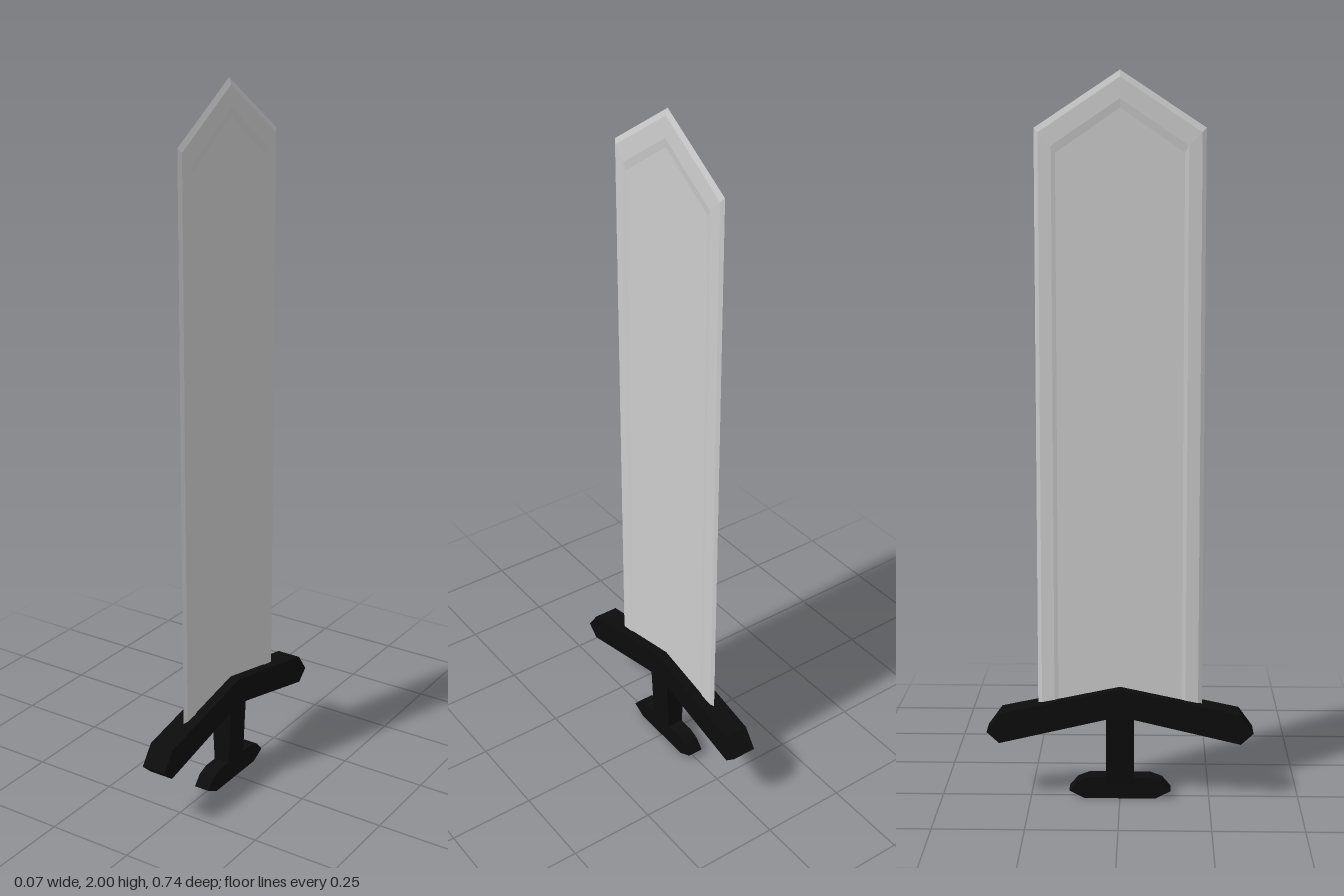
import * as THREE from 'three';

const steel = new THREE.MeshStandardMaterial({ color: 0xcccccc, flatShading: true });
const black = new THREE.MeshStandardMaterial({ color: 0x0c0c0c, flatShading: true });

// Flat plate: outline given as [z, y], centred thickness along x
function plate(name, outline, thickness) {
  const shape = new THREE.Shape(outline.map(([z, y]) => new THREE.Vector2(z, y)));
  const geo = new THREE.ExtrudeGeometry(shape, { depth: thickness, bevelEnabled: false });
  geo.translate(0, 0, -thickness / 2).rotateY(-Math.PI / 2);
  const mesh = new THREE.Mesh(geo, black);
  mesh.name = name;
  return mesh;
}

// Blade: nested pointed outlines stepping from the sharp edge to the sunken panel
function buildBlade() {
  const base = 0.235;
  // half width, shoulder height, tip height, half thickness
  const rings = [
    [0.229, 1.85, 2.0, 0.0005],
    [0.218, 1.838, 1.982, 0.0065],
    [0.183, 1.803, 1.926, 0.0085],
    [0.172, 1.785, 1.902, 0.006],
  ];
  const pos = [];
  const tri = (a, b, c, side) => pos.push(...a, ...(side > 0 ? b : c), ...(side > 0 ? c : b));
  const ringPoints = ([w, shoulder, tip, t], side) =>
    [[-w, base], [-w, shoulder], [0, tip], [w, shoulder], [w, base]].map(([z, y]) => [side * t, y, z]);

  for (const side of [1, -1]) {
    const loops = rings.map((r) => ringPoints(r, side));
    for (let k = 0; k < loops.length - 1; k++) {
      const outer = loops[k], inner = loops[k + 1];
      for (let i = 0; i < 4; i++) {
        tri(outer[i], outer[i + 1], inner[i + 1], side);
        tri(outer[i], inner[i + 1], inner[i], side);
      }
    }
    // centre panel
    const p = loops[loops.length - 1];
    for (let i = 1; i < 4; i++) tri(p[0], p[i], p[i + 1], side);
  }
  const geo = new THREE.BufferGeometry();
  geo.setAttribute('position', new THREE.Float32BufferAttribute(pos, 3));
  geo.computeVertexNormals();
  const mesh = new THREE.Mesh(geo, steel);
  mesh.name = 'blade';
  return mesh;
}

// Grip: box that narrows in thickness towards the pommel
function buildGrip() {
  const geo = new THREE.BoxGeometry(1, 0.22, 0.078);
  geo.translate(0, 0.15, 0);
  const p = geo.attributes.position;
  for (let i = 0; i < p.count; i++) {
    const thickness = p.getY(i) > 0.15 ? 0.068 : 0.046;
    p.setX(i, p.getX(i) * thickness);
  }
  geo.computeVertexNormals();
  const mesh = new THREE.Mesh(geo, black);
  mesh.name = 'grip';
  return mesh;
}

export function createModel() {
  const sword = new THREE.Group();
  sword.name = 'sword';
  sword.add(buildBlade(), buildGrip());

  // Swept crossguard with pointed ends
  sword.add(plate('crossguard', [
    [0, 0.32], [-0.333, 0.25], [-0.372, 0.196], [-0.337, 0.164], [-0.038, 0.234],
    [0.038, 0.234], [0.337, 0.164], [0.372, 0.196], [0.333, 0.25],
  ], 0.072));

  // Low pommel bar with slanted ends
  sword.add(plate('pommel', [
    [-0.1, 0], [0.1, 0], [0.142, 0.022], [0.118, 0.05], [0.085, 0.062],
    [-0.085, 0.062], [-0.118, 0.05], [-0.142, 0.022],
  ], 0.046));
  return sword;
}
